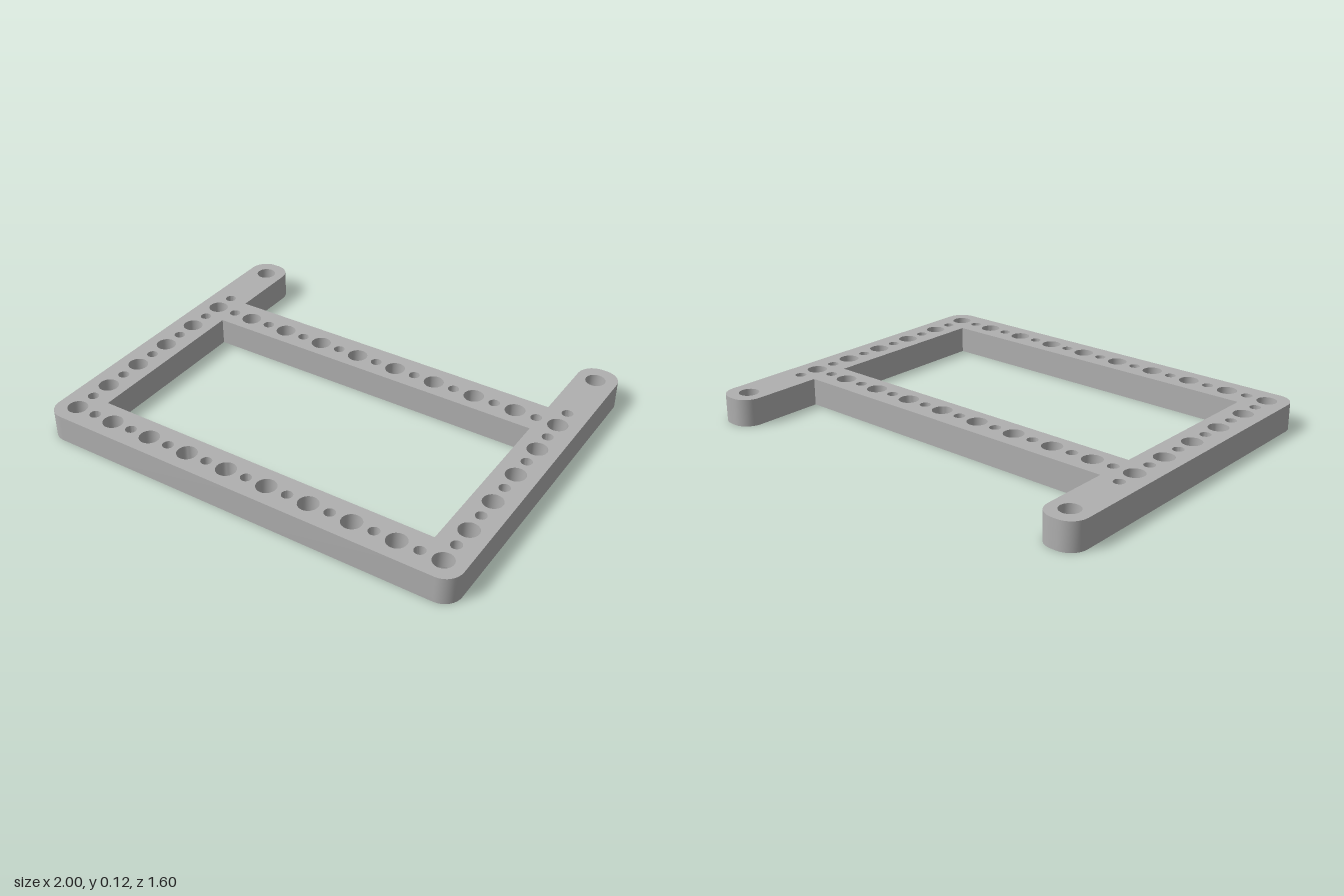
import * as THREE from 'three';
import { mergeGeometries, toCreasedNormals } from 'three/addons/utils/BufferGeometryUtils.js';

const HEIGHT = 0.125, POCKET = 0.05, PITCH = 0.2011;
const ARM = 0.815, END = 0.8, CORNER = 0.08;
const BIG = 0.045, SMALL = 0.025, NUT = 0.07;

// Loops are lists of (x, z) points
const arc = (cx, cz, r, start, sweep, n) => Array.from({ length: n + 1 }, (_, i) => {
  const a = start + sweep * i / n;
  return new THREE.Vector2(cx + r * Math.cos(a), cz + r * Math.sin(a));
});
const ring = (x, z, r, n, start = 0) => arc(x, z, r, start, Math.PI * 2, n).slice(0, n);

// Quarter-round corner whose square corner would be at (x, z)
function corner(x, z, quarter) {
  const a = quarter * Math.PI / 2, m = a + Math.PI / 4;
  return arc(x - Math.sign(Math.cos(m)) * CORNER, z - Math.sign(Math.sin(m)) * CORNER,
    CORNER, a, Math.PI / 2, 8);
}

// Flat face with holes, facing up or down
function cap(outer, holes, y, up) {
  const place = loop => loop.map(p => new THREE.Vector2(p.x, up ? -p.y : p.y));
  const shape = new THREE.Shape(place(outer));
  shape.holes = holes.map(h => new THREE.Path(place(h)));
  const g = new THREE.ShapeGeometry(shape);
  g.rotateX(up ? -Math.PI / 2 : Math.PI / 2).translate(0, y, 0);
  g.deleteAttribute('uv');
  return g.toNonIndexed();
}

// Upright wall along a loop, facing into it, or out of it when outward
function wall(loop, y0, y1, outward = false) {
  const pts = outward ? [...loop].reverse() : loop;
  const pos = [];
  pts.forEach((a, i) => {
    const b = pts[(i + 1) % pts.length];
    pos.push(a.x, y0, a.y, b.x, y0, b.y, b.x, y1, b.y, a.x, y0, a.y, b.x, y1, b.y, a.x, y1, a.y);
  });
  const g = new THREE.BufferGeometry();
  g.setAttribute('position', new THREE.Float32BufferAttribute(pos, 3));
  g.computeVertexNormals();
  return g;
}

export function createModel() {
  const grey = new THREE.MeshStandardMaterial({ color: 0xb0b0b0 });
  grey.name = 'light grey';
  const group = new THREE.Group();
  group.name = 'perforatedFrame';
  const add = (name, parts) => {
    const mesh = new THREE.Mesh(toCreasedNormals(mergeGeometries(parts), 0.6), grey);
    mesh.name = name;
    group.add(mesh);
  };

  // Frame outline: two long arms joined by a front bar and a cross bar
  const outline = [
    ...corner(1, END, 0), ...corner(-1, END, 1),
    ...corner(-1, -END, 2), ...corner(-ARM, -END, 3),
    new THREE.Vector2(-ARM, -0.4), new THREE.Vector2(ARM, -0.4),
    ...corner(ARM, -END, 2), ...corner(1, -END, 3),
  ];
  const opening = [[-ARM, -0.215], [ARM, -0.215], [ARM, 0.61], [-ARM, 0.61]]
    .map(([x, z]) => new THREE.Vector2(x, z));

  // Hole positions in steps of the pitch
  const big = [], small = [], nuts = [];
  for (const z of [-1.5, 3.5]) {
    for (let x = -3.5; x <= 3.5; x++) big.push([x, z]);
    for (let x = -4; x <= 4; x++) small.push([x, z]);
  }
  for (const x of [-4.5, 4.5]) {
    for (let z = -0.5; z <= 2.5; z++) big.push([x, z]);
    for (let z = -2; z <= 3; z++) small.push([x, z]);
    for (const z of [-3.5, -1.5, 3.5]) nuts.push([x, z]);
  }
  const rings = (list, r, n, start) => list.map(([x, z]) => ring(x * PITCH, z * PITCH, r, n, start));
  const bigHoles = rings(big, BIG, 28), smallHoles = rings(small, SMALL, 20);
  const boltHoles = rings(nuts, BIG, 28), hexes = rings(nuts, NUT, 6, Math.PI / 2);
  const through = [...bigHoles, ...smallHoles];

  add('topFace', [cap(outline, [opening, ...through, ...boltHoles], HEIGHT, true)]);
  add('bottomFace', [cap(outline, [opening, ...through, ...hexes], 0, false)]);
  add('outerWall', [wall(outline, 0, HEIGHT, true)]);
  add('openingWall', [wall(opening, 0, HEIGHT)]);
  add('pinHoles', bigHoles.map(h => wall(h, 0, HEIGHT)));
  add('smallHoles', smallHoles.map(h => wall(h, 0, HEIGHT)));
  add('boltHoles', boltHoles.map(h => wall(h, POCKET, HEIGHT)));
  // Hexagonal nut recesses open to the underside
  add('nutPockets', hexes.flatMap((h, i) => [wall(h, 0, POCKET), cap(h, [boltHoles[i]], POCKET, false)]));
  return group;
}
